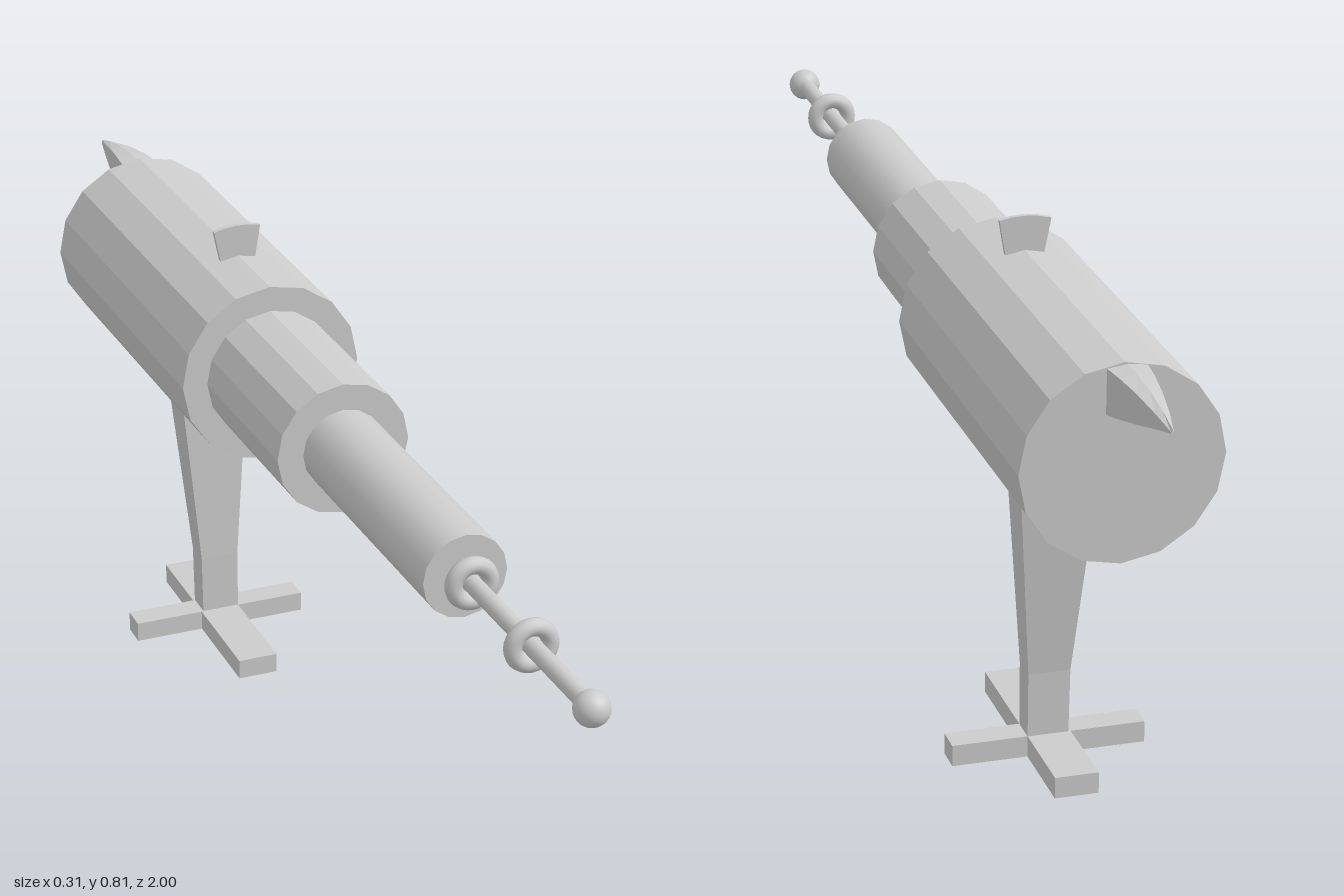
import * as THREE from 'three';

const mat = (opts = {}) => new THREE.MeshStandardMaterial({ color: 0xcccccc, ...opts });
const faceted = mat({ flatShading: true });
const smooth = mat();

function add(parent, name, geometry, material = faceted) {
  const mesh = new THREE.Mesh(geometry, material);
  mesh.name = name;
  parent.add(mesh);
  return mesh;
}

// Cylinder running along z between two depths
function tube(z0, z1, radius, sides) {
  return new THREE.CylinderGeometry(radius, radius, z1 - z0, sides)
    .rotateX(Math.PI / 2).translate(0, 0, (z0 + z1) / 2);
}

// Skin over matching cross-sections, closed with end caps.
// Corners run counter-clockwise when seen from the last section.
function loft(sections) {
  const pos = [], n = sections[0].length;
  const tri = (a, b, c) => pos.push(...a, ...b, ...c);
  for (let i = 0; i < sections.length - 1; i++) {
    const p = sections[i], q = sections[i + 1];
    for (let j = 0; j < n; j++) {
      const k = (j + 1) % n;
      tri(p[j], p[k], q[k]);
      tri(p[j], q[k], q[j]);
    }
  }
  const a = sections[0], b = sections[sections.length - 1];
  for (let j = 1; j < n - 1; j++) {
    tri(a[0], a[j + 1], a[j]);
    tri(b[0], b[j], b[j + 1]);
  }
  const g = new THREE.BufferGeometry();
  g.setAttribute('position', new THREE.Float32BufferAttribute(pos, 3));
  g.computeVertexNormals();
  return g;
}

export function createModel() {
  const model = new THREE.Group();
  model.name = 'mountedBlaster';

  // Barrel assembly, very slightly tilted
  const barrel = new THREE.Group();
  barrel.name = 'barrel';
  barrel.position.set(0.003, 0.61, 0);
  barrel.rotation.set(-0.0135, 0.011, 0);
  model.add(barrel);
  add(barrel, 'rearHousing', tube(-0.82, -0.21, 0.152, 16));
  add(barrel, 'middleSleeve', tube(-0.22, 0.095, 0.11, 16));
  add(barrel, 'frontSleeve', tube(0.085, 0.555, 0.067, 16), smooth);
  add(barrel, 'rod', tube(0.54, 0.97, 0.014, 16), smooth);
  for (const z of [0.578, 0.78]) {
    add(barrel, 'ring', new THREE.TorusGeometry(0.029, 0.0135, 12, 28), smooth).position.z = z;
  }
  add(barrel, 'tipBall', new THREE.SphereGeometry(0.027, 24, 16), smooth).position.z = 0.973;

  // Flared sight plate with an arched top
  const sight = new THREE.Shape();
  sight.moveTo(-0.028, 0.735);
  sight.lineTo(0.026, 0.735);
  sight.lineTo(0.038, 0.806);
  sight.quadraticCurveTo(-0.002, 0.816, -0.042, 0.804);
  sight.closePath();
  add(model, 'sight', new THREE.ExtrudeGeometry(sight, { depth: 0.008, bevelEnabled: false, curveSegments: 4 }))
    .position.z = -0.36;

  // Tapering rear spur: [z, half width, bottom y, top y]
  const spur = [
    [-0.81, 0.031, 0.673, 0.748], [-0.86, 0.025, 0.683, 0.747],
    [-0.91, 0.018, 0.694, 0.742], [-0.96, 0.01, 0.706, 0.732], [-1.0, 0.002, 0.714, 0.72],
  ].map(([z, w, lo, hi]) => {
    const cx = -0.009 + (z + 0.81) * 0.03;
    return [[cx + w, lo, z], [cx - w, lo, z], [cx - w, hi - 0.004, z], [cx, hi, z], [cx + w, hi - 0.004, z]];
  });
  add(model, 'rearSpur', loft(spur));

  // Pedestal: [y, x min, x max, z min, z max]
  const post = [
    [0.01, -0.027, 0.037, -0.517, -0.474],
    [0.14, -0.029, 0.037, -0.519, -0.474],
    [0.48, -0.058, 0.064, -0.56, -0.488],
  ].map(([y, x0, x1, z0, z1]) => [[x0, y, z1], [x1, y, z1], [x1, y, z0], [x0, y, z0]]);
  add(model, 'pedestal', loft(post));

  // Cross-shaped foot
  const foot = new THREE.Shape();
  const w = 0.034, d = 0.022, L = 0.152, D = 0.186;
  [[w, -D], [w, -d], [L, -d], [L, d], [w, d], [w, D], [-w, D], [-w, d], [-L, d], [-L, -d], [-w, -d], [-w, -D]]
    .forEach(([x, y], i) => (i ? foot.lineTo(x, y) : foot.moveTo(x, y)));
  const footGeo = new THREE.ExtrudeGeometry(foot, { depth: 0.034, bevelEnabled: false }).rotateX(-Math.PI / 2);
  const base = add(model, 'crossFoot', footGeo);
  base.position.set(0.003, 0.002, -0.472);
  // The sideways bar sits under the pedestal, slightly behind the middle
  const p = footGeo.attributes.position;
  for (let i = 0; i < p.count; i++) {
    if (Math.abs(p.getZ(i)) < 0.1) p.setZ(i, p.getZ(i) - 0.023);
  }
  return model;
}
